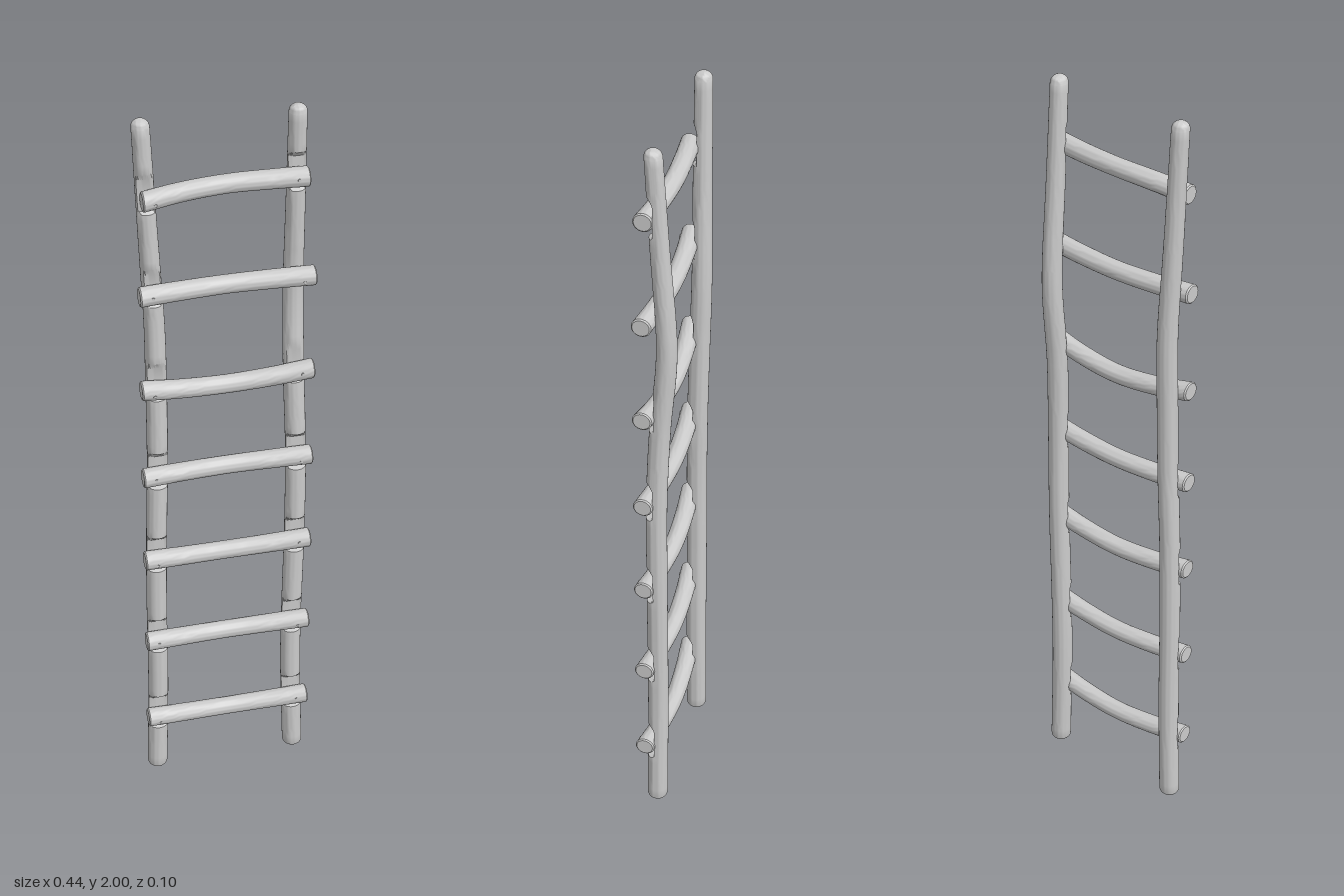
import * as THREE from 'three';
import { toCreasedNormals } from 'three/addons/utils/BufferGeometryUtils.js';

const SIDES = 28;
const material = new THREE.MeshStandardMaterial({ color: 0xcccccc });

// Skin a list of closed rings (counter-clockwise about the axis) and cap both ends
function loft(rings) {
  const pos = [], index = [], n = SIDES;
  rings.forEach(ring => ring.forEach(p => pos.push(p.x, p.y, p.z)));
  for (let i = 0; i < rings.length - 1; i++) {
    for (let j = 0; j < n; j++) {
      const a = i * n + j, b = i * n + (j + 1) % n;
      index.push(a, b, a + n, b, b + n, a + n);
    }
  }
  [rings[0], rings[rings.length - 1]].forEach((ring, end) => {
    const c = ring.reduce((s, p) => s.add(p), new THREE.Vector3()).divideScalar(n);
    const centre = pos.length / 3, base = end ? (rings.length - 1) * n : 0;
    pos.push(c.x, c.y, c.z);
    for (let j = 0; j < n; j++) {
      const a = base + j, b = base + (j + 1) % n;
      index.push(centre, end ? a : b, end ? b : a);
    }
  });
  const geo = new THREE.BufferGeometry();
  geo.setAttribute('position', new THREE.Float32BufferAttribute(pos, 3));
  geo.setIndex(index);
  return toCreasedNormals(geo, 0.6);
}

const angles = Array.from({ length: SIDES }, (_, j) => (j / SIDES) * Math.PI * 2);

// Rungs: height at left end (-x), middle and right end (+x)
const RUNGS = [
  [0.193, 0.178, 0.193],
  [0.458, 0.447, 0.458],
  [0.729, 0.715, 0.729],
  [0.993, 0.988, 0.996],
  [1.261, 1.237, 1.261],
  [1.534, 1.530, 1.534],
  [1.797, 1.810, 1.813],
];

// Pole centre lines, from the foot to the tip
const POLES = {
  rightPole: [[-0.188, 0, -0.001], [-0.182, 0.3, -0.001], [-0.182, 0.6, -0.001], [-0.179, 0.8, -0.001],
    [-0.173, 1.02, -0.004], [-0.172, 1.25, -0.009], [-0.173, 1.42, -0.013], [-0.184, 1.65, -0.01], [-0.2, 2, -0.007]],
  leftPole: [[0.188, 0, -0.001], [0.179, 0.3, -0.001], [0.18, 0.5, -0.001], [0.184, 0.75, -0.001],
    [0.183, 1.0, -0.001], [0.177, 1.22, -0.009], [0.176, 1.45, -0.026], [0.174, 1.72, -0.01], [0.172, 2, 0.007]],
};

// Pole with rounded ends and a flat notch behind every rung
function poleGeometry(points, endIndex) {
  const curve = new THREE.CatmullRomCurve3(points.map(p => new THREE.Vector3(...p)));
  const samples = curve.getPoints(400);
  const at = y => samples.reduce((a, b) => Math.abs(b.y - y) < Math.abs(a.y - y) ? b : a);
  const stations = [];
  const add = (y, cut, scale = 1) => stations.push({ y, cut, scale });
  const CUT = 0.003, FULL = 1;
  for (let k = 0; k <= 5; k++) {
    const t = (k / 5) * Math.PI / 2;
    add(0.002 + 0.015 * (1 - Math.cos(t)) * 0.9, FULL, 0.55 + 0.45 * Math.sin(t));
  }
  stations.sort((a, b) => a.y - b.y);
  let y0 = 0.02;
  RUNGS.forEach(r => {
    const y = r[endIndex], low = y - 0.045;
    for (let k = 1; k <= 8; k++) add(y0 + (low - y0) * k / 8, FULL);
    add(low + 0.006, CUT);
    add(y, CUT);
    add(y + 0.045, CUT);
    add(y + 0.064, FULL);
    y0 = y + 0.064;
  });
  for (let k = 1; k <= 5; k++) add(y0 + (1.98 - y0) * k / 5, FULL);
  for (let k = 1; k <= 6; k++) {
    const t = (k / 6) * Math.PI / 2 * 0.92;
    add(1.98 + 0.02 * Math.sin(t), FULL, Math.cos(t));
  }
  return loft(stations.map(({ y, cut, scale }) => {
    const c = at(y), r = scale * (0.0265 - 0.0045 * Math.max(0, (y - 1.3) / 0.7));
    return angles.map(a => new THREE.Vector3(c.x + r * Math.sin(a), y, Math.min(c.z + r * Math.cos(a), cut)));
  }));
}

// Bowed rung with slightly chamfered flat ends
function rungGeometry(curve) {
  const rings = [];
  const N = 24;
  const ring = (t, r) => {
    const c = curve.getPoint(t);
    rings.push(angles.map(a => new THREE.Vector3(c.x, c.y + r * Math.cos(a), c.z + r * Math.sin(a))));
  };
  const radius = t => 0.0235 + 0.0015 * Math.abs(2 * t - 1);
  ring(0, 0.0215);
  for (let i = 0; i <= N; i++) {
    const t = 0.008 + 0.984 * i / N;
    ring(t, radius(t));
  }
  ring(1, 0.0215);
  return loft(rings);
}

export function createModel() {
  const ladder = new THREE.Group();
  ladder.name = 'ladder';
  const add = (name, geo, parent = ladder) => {
    const mesh = new THREE.Mesh(geo, material);
    mesh.name = name;
    parent.add(mesh);
    return mesh;
  };

  add('rightPole', poleGeometry(POLES.rightPole, 0));
  add('leftPole', poleGeometry(POLES.leftPole, 2));

  const nailGeo = new THREE.CylinderGeometry(0.004, 0.004, 0.006, 10).rotateX(Math.PI / 2);
  RUNGS.forEach(([yl, ym, yr], i) => {
    const group = new THREE.Group();
    group.name = `rung${i + 1}`;
    ladder.add(group);
    const top = i === RUNGS.length - 1;
    const x0 = top ? -0.206 : -0.217, x1 = top ? 0.196 : 0.217;
    const curve = new THREE.CatmullRomCurve3([
      new THREE.Vector3(x0, yl, 0.026),
      new THREE.Vector3(x0 * 0.55, yl + (ym - yl) * 0.65, 0.016),
      new THREE.Vector3(0, ym, 0.01),
      new THREE.Vector3(x1 * 0.55, yr + (ym - yr) * 0.65, 0.016),
      new THREE.Vector3(x1, yr, 0.026),
    ]);
    add('rungBar', rungGeometry(curve), group);

    // Nail heads where the rung crosses each pole
    [0.08, 0.92].forEach((t, side) => {
      const c = curve.getPoint(t);
      const lift = ((i + side) % 2 ? 1 : -1) * 0.004;
      add('nailHead', nailGeo, group).position.set(c.x, c.y + lift, c.z + 0.0225);
    });
  });
  return ladder;
}
